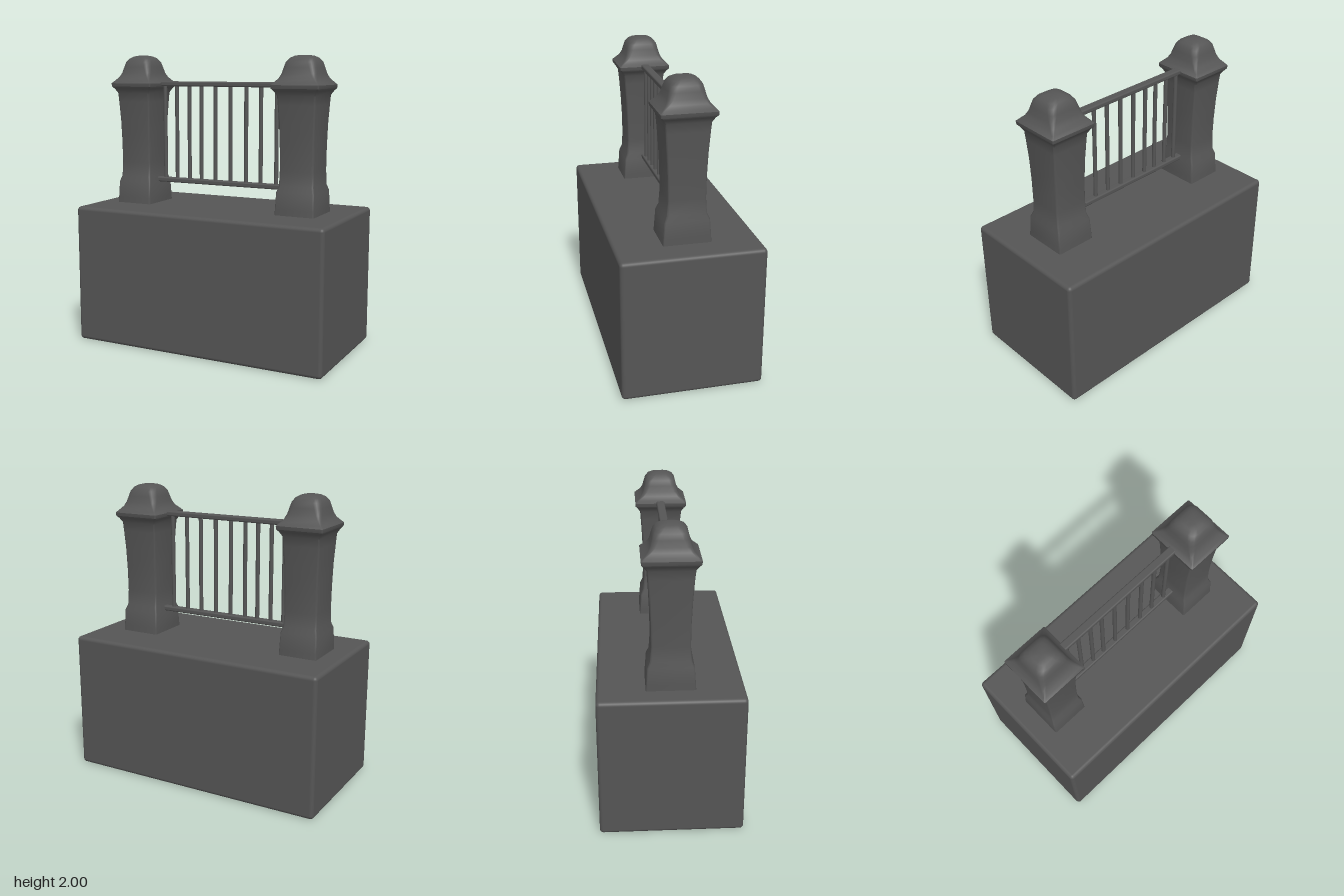
import * as THREE from 'three';
import { toCreasedNormals } from 'three/addons/utils/BufferGeometryUtils.js';
import { RoundedBoxGeometry } from 'three/addons/geometries/RoundedBoxGeometry.js';

const stone = new THREE.MeshStandardMaterial({ color: 0x555555 });
stone.name = 'dark grey stone';

// Pillar cross-sections: y, half width, half depth, corner radius
const PILLAR = [
  [0.94, 0.134, 0.158, 0.01], [1.0, 0.132, 0.154, 0.01], [1.11, 0.128, 0.146, 0.01],
  [1.15, 0.117, 0.129, 0.012], [1.25, 0.115, 0.122, 0.012], [1.4, 0.116, 0.124, 0.012],
  [1.55, 0.119, 0.131, 0.012], [1.68, 0.126, 0.14, 0.012], [1.74, 0.129, 0.146, 0.012],
  [1.77, 0.145, 0.164, 0.01], [1.785, 0.158, 0.177, 0.008], [1.808, 0.16, 0.179, 0.008],
  [1.825, 0.146, 0.162, 0.012], [1.85, 0.127, 0.137, 0.02], [1.88, 0.117, 0.122, 0.03],
  [1.92, 0.109, 0.112, 0.038], [1.955, 0.1, 0.103, 0.042], [1.98, 0.083, 0.086, 0.045],
  [1.994, 0.058, 0.06, 0.035], [2.0, 0.03, 0.03, 0.02],
];

// Rounded rectangle ring, four points per corner
function ring([y, hx, hz, r]) {
  const pts = [];
  for (let c = 0; c < 4; c++) {
    const sx = c === 0 || c === 3 ? 1 : -1;
    const sz = c < 2 ? 1 : -1;
    for (let k = 0; k < 4; k++) {
      const a = (c + k / 3) * Math.PI / 2;
      pts.push([sx * (hx - r) + r * Math.cos(a), y, sz * (hz - r) + r * Math.sin(a)]);
    }
  }
  return pts;
}

// Skin a stack of rings and close the top
function loft(rows) {
  const rings = rows.map(ring);
  const n = rings[0].length;
  const pos = rings.flat(2);
  const index = [];
  for (let j = 0; j < rings.length - 1; j++) {
    for (let i = 0; i < n; i++) {
      const a = j * n + i, b = j * n + (i + 1) % n;
      index.push(a, a + n, b, b, a + n, b + n);
    }
  }
  const top = rings.length * n;
  pos.push(0, rows[rows.length - 1][0], 0);
  for (let i = 0; i < n; i++) index.push(top, top - n + (i + 1) % n, top - n + i);
  const g = new THREE.BufferGeometry();
  g.setAttribute('position', new THREE.Float32BufferAttribute(pos, 3));
  g.setIndex(index);
  return toCreasedNormals(g, 0.7);
}

export function createModel() {
  const root = new THREE.Group();
  root.name = 'railingOnPlinth';
  const add = (name, geometry, x, y, z = 0) => {
    const mesh = new THREE.Mesh(geometry, stone);
    mesh.name = name;
    mesh.position.set(x, y, z);
    root.add(mesh);
    return mesh;
  };

  // Plinth block with softened edges
  add('plinth', new RoundedBoxGeometry(1.83, 0.955, 0.93, 4, 0.025), 0, 0.4825);

  // Pillars with flared foot, cap and dome
  const pillar = loft(PILLAR);
  add('rightPillar', pillar, -0.64, 0);
  add('leftPillar', pillar, 0.59, 0).scale.x = 1.04;

  // Rails
  add('topRail', new RoundedBoxGeometry(1.04, 0.034, 0.056, 2, 0.01), -0.025, 1.805, -0.003);
  add('bottomRail', new RoundedBoxGeometry(1.04, 0.034, 0.05, 2, 0.01), -0.025, 1.125, -0.003);

  // Upright bars
  const bar = new THREE.CylinderGeometry(0.014, 0.014, 0.69, 10);
  for (const x of [-0.465, -0.37, -0.27, -0.175, -0.065, 0.052, 0.17, 0.28, 0.395]) {
    add('railingBar', bar, x, 1.465, -0.003);
  }
  return root;
}
